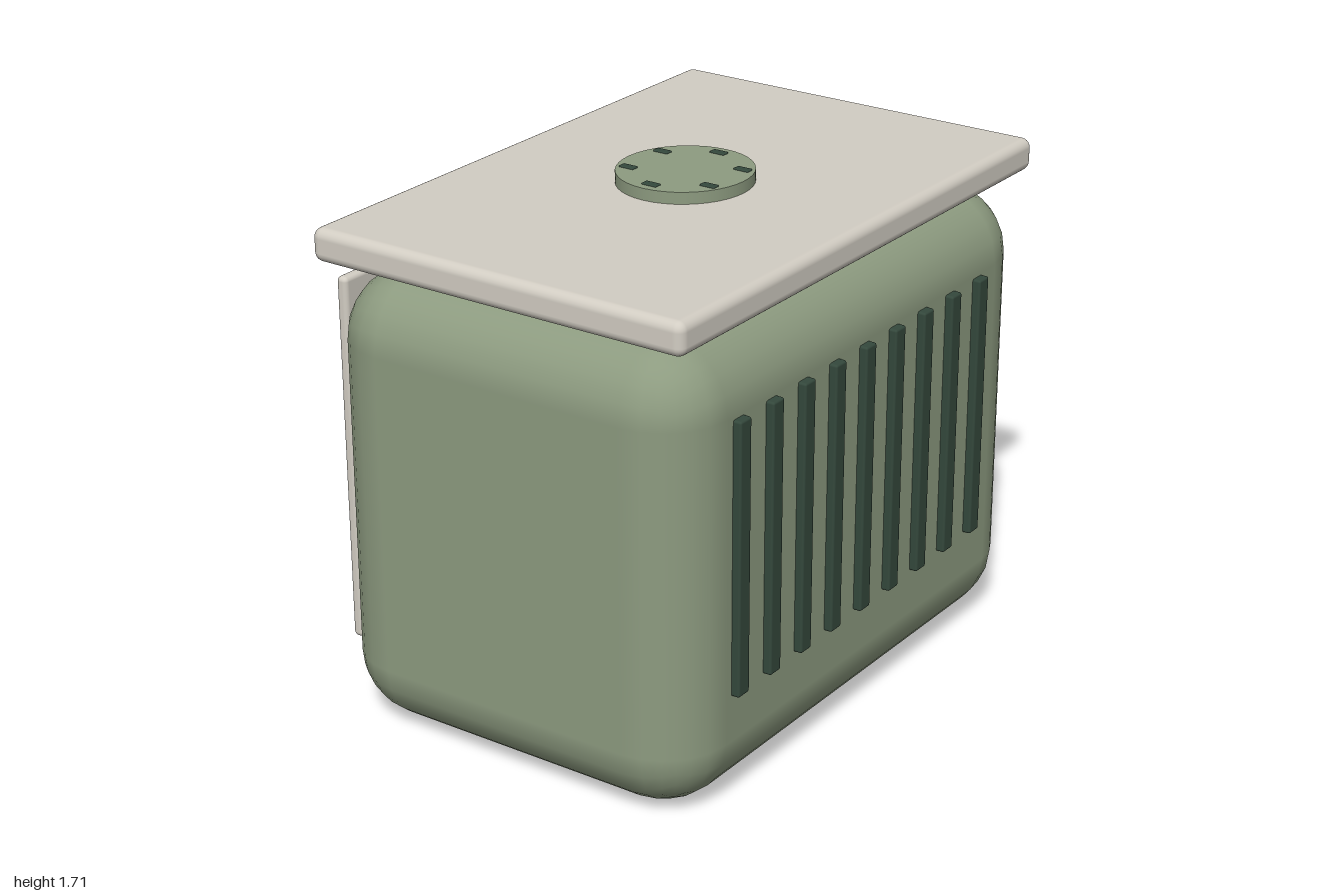
import * as THREE from 'three';
import { RoundedBoxGeometry } from 'three/addons/geometries/RoundedBoxGeometry.js';

export function createModel() {
  const model = new THREE.Group();
  model.name = 'ventedCabinet';
  const sage = new THREE.MeshStandardMaterial({ name: 'sage green', color: 0x8d9b80 });
  const cream = new THREE.MeshStandardMaterial({ name: 'warm cream', color: 0xd2cdc3 });
  const darkGreen = new THREE.MeshStandardMaterial({ name: 'dark green', color: 0x34483c });

  // Rounded box given by its size, centre and edge radius
  function block(name, size, centre, radius, material, segments = 3, parent = model) {
    const mesh = new THREE.Mesh(new RoundedBoxGeometry(...size, segments, radius), material);
    mesh.name = name;
    mesh.position.set(...centre);
    parent.add(mesh);
    return mesh;
  }

  // Soft-cornered body, lid hovering just above it, flat panel on the back
  block('body', [2, 1.53, 1.365], [0, 0.765, 0.007], 0.23, sage);
  block('lid', [2, 0.11, 1.365], [0, 1.615, 0.004], 0.032, cream);
  block('backPanel', [1.71, 1.245, 0.04], [0, 0.8375, -0.695], 0.016, cream);

  // Row of nine upright vent bars on the front
  const vents = new THREE.Group();
  vents.name = 'frontVents';
  model.add(vents);
  for (let i = 0; i < 9; i++) {
    block('ventBar', [0.058, 0.905, 0.06], [-0.715 + i * 0.1716, 0.8375, 0.687], 0.008, darkGreen, 2, vents);
  }

  // Round cap on the lid, slightly shorter front to back
  const cap = new THREE.Mesh(new THREE.CylinderGeometry(0.228, 0.228, 0.05, 40), sage);
  cap.name = 'topCap';
  cap.position.set(0, 1.684, 0);
  cap.scale.z = 0.955;
  model.add(cap);

  // Ring of six small slots on the cap
  const slots = new THREE.Group();
  slots.name = 'capSlots';
  model.add(slots);
  for (let i = 0; i < 6; i++) {
    const a = (i * Math.PI) / 3;
    block('capSlot', [0.029, 0.02, 0.055], [0.185 * Math.cos(a), 1.704, 0.178 * Math.sin(a)], 0.004, darkGreen, 2, slots);
  }

  return model;
}
